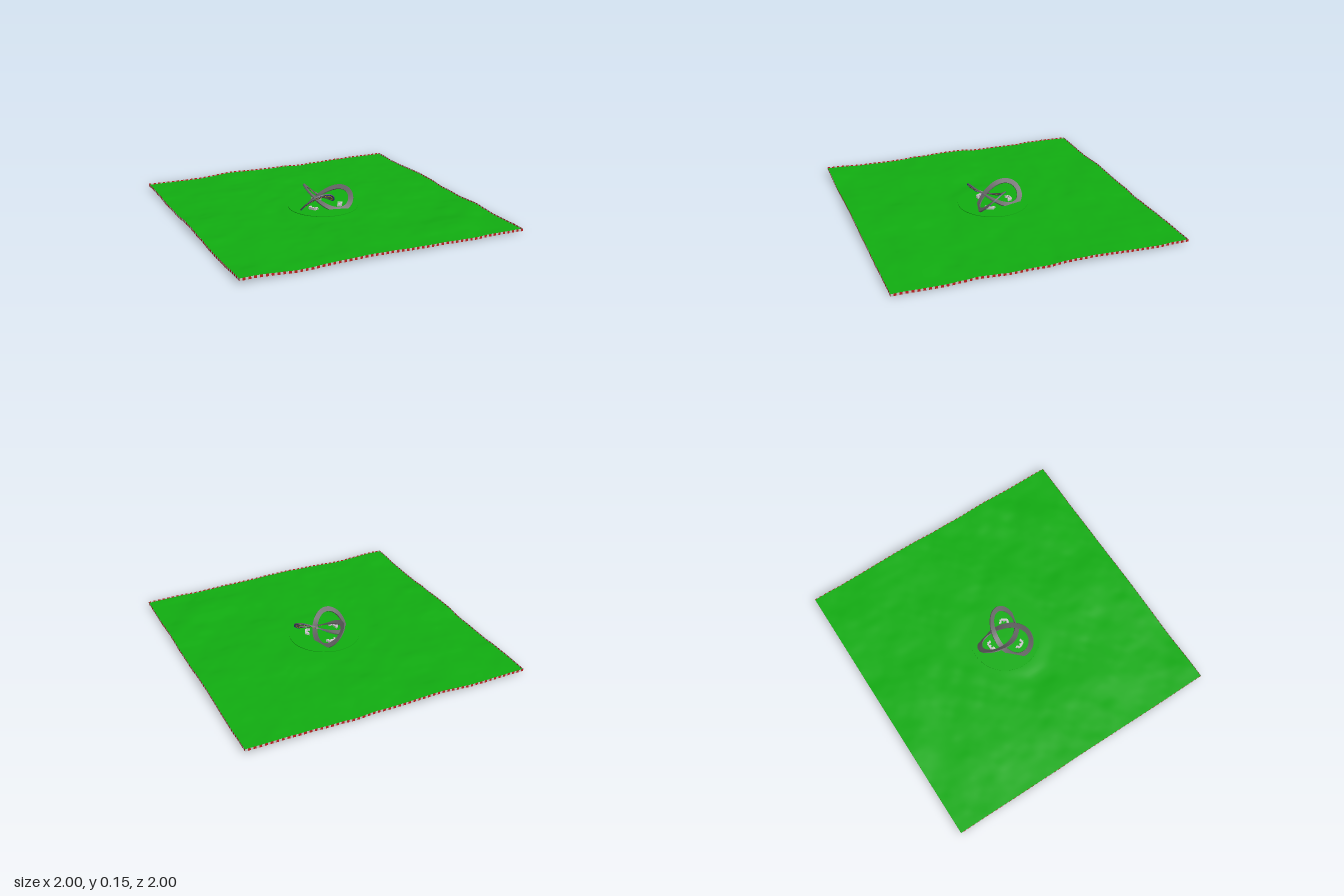
import * as THREE from 'three';
import { toCreasedNormals } from 'three/addons/utils/BufferGeometryUtils.js';

const mat = (color, side = THREE.FrontSide) => new THREE.MeshStandardMaterial({ color, side });
const green = 0x11ad11;

function add(parent, name, geometry, material) {
  const mesh = new THREE.Mesh(geometry, material);
  mesh.name = name;
  parent.add(mesh);
  return mesh;
}

function buildGeometry(positions, index) {
  const g = new THREE.BufferGeometry();
  g.setAttribute('position', new THREE.Float32BufferAttribute(positions, 3));
  g.setIndex(index);
  g.computeVertexNormals();
  return g;
}

// Smooth seeded value noise in -1..1
function hash(i, j) {
  const s = Math.sin(i * 127.1 + j * 311.7 + 4.2) * 43758.5453;
  return (s - Math.floor(s)) * 2 - 1;
}
function noise(x, z) {
  const i = Math.floor(x), j = Math.floor(z);
  const f = THREE.MathUtils.smootherstep(x - i, 0, 1), g = THREE.MathUtils.smootherstep(z - j, 0, 1);
  const { lerp } = THREE.MathUtils;
  return lerp(lerp(hash(i, j), hash(i + 1, j), f), lerp(hash(i, j + 1), hash(i + 1, j + 1), f), g);
}

// Rolling ground that settles flat under the round clearing
function groundHeight(x, z) {
  const n = noise(x * 3.1, z * 4.2) * 0.009 + noise(x * 8 + 9, z * 9) * 0.003 + noise(x * 17, z * 19 + 5) * 0.001;
  const blend = THREE.MathUtils.smoothstep(Math.hypot(x, z), 0.24, 0.36);
  return 0.029 + n * blend;
}

// Three-lobed knot: position and frame at parameter t
function knotPoint(t) {
  const s = 0.0665;
  return new THREE.Vector3(
    s * (Math.sin(t) + 2 * Math.sin(2 * t)),
    0.086 + 0.058 * Math.sin(3 * t),
    s * (Math.cos(t) - 2 * Math.cos(2 * t)));
}
function knotFrame(t) {
  const h = 0.01;
  const a = knotPoint(t - h), p = knotPoint(t), b = knotPoint(t + h);
  const T = b.clone().sub(a).normalize();
  const N = a.add(b).addScaledVector(p, -2);
  N.addScaledVector(T, -N.dot(T)).normalize();
  return { p, N, B: T.clone().cross(N) };
}

// Rectangular section swept round the knot; u runs inward, v runs to the underside
function knotBand(u0, u1, v0, v1) {
  const steps = 240, positions = [], index = [];
  const section = [[u0, v0], [u1, v0], [u1, v1], [u0, v1]];
  for (let i = 0; i < steps; i++) {
    const { p, N, B } = knotFrame(i / steps * Math.PI * 2);
    for (const [u, v] of section) {
      positions.push(...p.clone().addScaledVector(N, u).addScaledVector(B, v).toArray());
    }
    for (let j = 0; j < 4; j++) {
      const k = (j + 1) % 4, n = (i + 1) % steps;
      const a = i * 4 + j, b = i * 4 + k, c = n * 4 + k, d = n * 4 + j;
      index.push(a, b, c, a, c, d);
    }
  }
  return toCreasedNormals(buildGeometry(positions, index), 0.6);
}

// Upright border strip made of every second dash along all four edges
function borderDashes(parity) {
  const dashes = 110, positions = [], index = [];
  const corners = [[-1, -1], [1, -1], [1, 1], [-1, 1]];
  corners.forEach(([x0, z0], side) => {
    const [x1, z1] = corners[(side + 1) % 4];
    for (let i = parity; i < dashes; i += 2) {
      const base = positions.length / 3;
      for (const f of [i / dashes, (i + 1) / dashes]) {
        const x = x0 + (x1 - x0) * f, z = z0 + (z1 - z0) * f, y = groundHeight(x, z);
        positions.push(x, y - 0.008, z, x, y + 0.009, z);
      }
      index.push(base, base + 1, base + 3, base, base + 3, base + 2);
    }
  });
  return buildGeometry(positions, index);
}

export function createModel() {
  const model = new THREE.Group();

  // Ground sheet
  const ground = new THREE.PlaneGeometry(2, 2, 110, 110).rotateX(-Math.PI / 2);
  const pos = ground.attributes.position;
  for (let i = 0; i < pos.count; i++) pos.setY(i, groundHeight(pos.getX(i), pos.getZ(i)));
  ground.computeVertexNormals();
  add(model, 'ground', ground, mat(green, THREE.DoubleSide));

  // Round clearing under the knot
  add(model, 'clearing', new THREE.CylinderGeometry(0.25, 0.25, 0.006, 64), mat(green)).position.y = 0.03;

  // Red and white border
  const border = new THREE.Group();
  border.name = 'border';
  add(border, 'redDashes', borderDashes(0), mat(0xc02020, THREE.DoubleSide));
  add(border, 'whiteDashes', borderDashes(1), mat(0xeeeeee, THREE.DoubleSide));
  model.add(border);

  // Knotted track with coloured lines on its underside
  const track = new THREE.Group();
  track.name = 'knotTrack';
  add(track, 'trackBand', knotBand(-0.018, 0.018, -0.004, 0.004), mat(0x666666));
  add(track, 'blueLine', knotBand(-0.016, -0.012, 0.003, 0.005), mat(0x2233bb));
  add(track, 'yellowLine', knotBand(-0.003, 0.001, 0.003, 0.005), mat(0xd8c820));
  model.add(track);

  // Small three-sided shelter inside each lobe, open to the centre
  const grey = mat(0xcccccc);
  for (let i = 0; i < 3; i++) {
    const shelter = new THREE.Group();
    shelter.name = 'shelter';
    const block = (name, w, h, d, x, z) =>
      add(shelter, name, new THREE.BoxGeometry(w, h, d), grey).position.set(x, 0.033 + h / 2, z);
    block('backWall', 0.042, 0.018, 0.012, 0, -0.132);
    for (const s of [-1, 1]) {
      block('sideWall', 0.012, 0.016, 0.026, s * 0.025, -0.119);
      block('foot', 0.01, 0.012, 0.01, s * 0.032, -0.109);
    }
    block('middlePost', 0.01, 0.014, 0.012, 0, -0.122);
    shelter.rotation.y = i * Math.PI * 2 / 3;
    model.add(shelter);
  }

  // Rest the lowest point on the floor
  const low = new THREE.Box3().setFromObject(model).min.y;
  for (const part of model.children) part.position.y -= low;
  return model;
}
